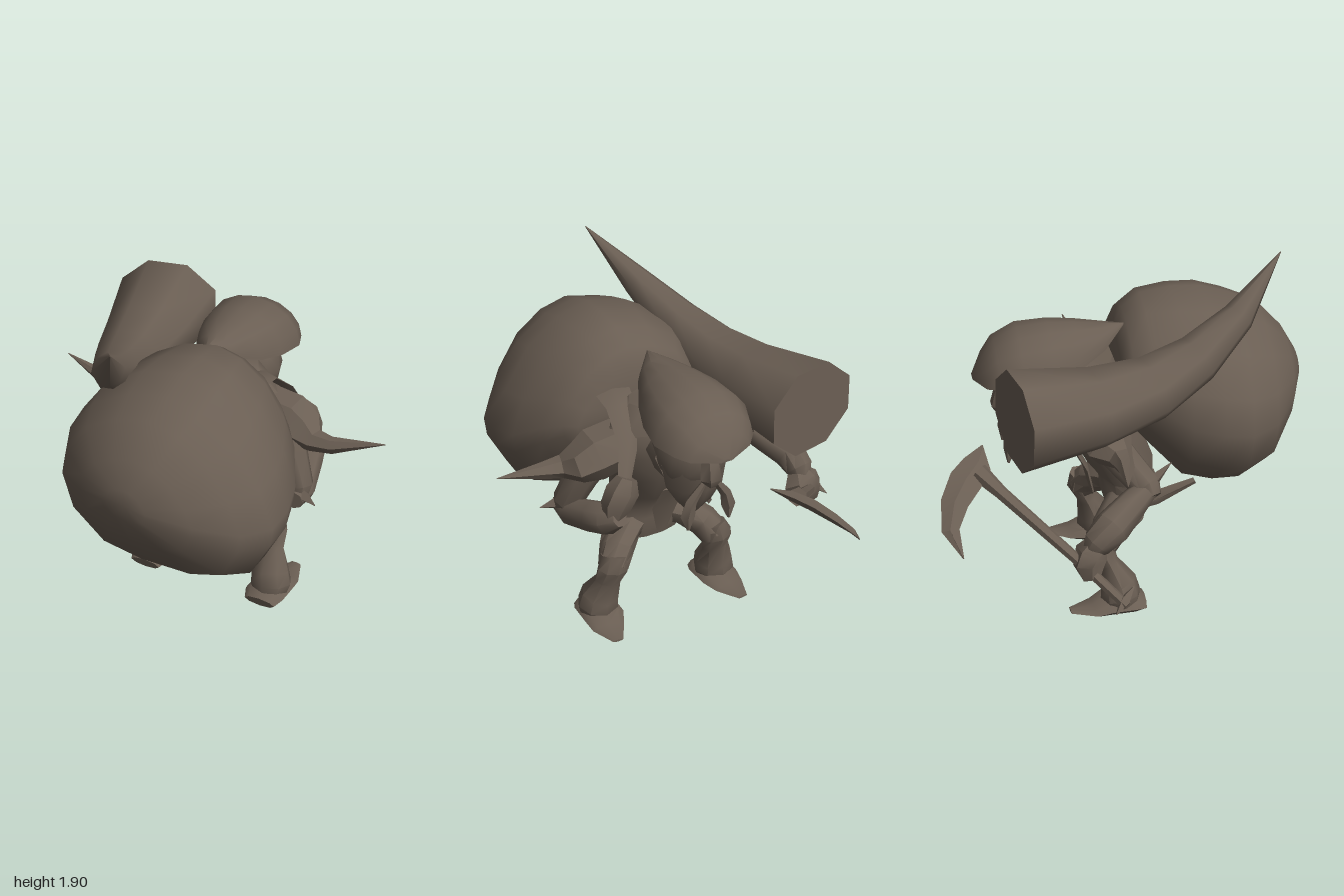
import * as THREE from 'three';
import { toCreasedNormals } from 'three/addons/utils/BufferGeometryUtils.js';

const V = (p) => new THREE.Vector3(...p);
const brown = new THREE.MeshStandardMaterial({ color: 0x6a5e53, side: THREE.DoubleSide });
brown.name = 'earthBrown';

// Skin a list of equal-sized rings, cap the ends and turn the faces outward
function loft(rings, crease = 0.85) {
  const n = rings[0].length, pts = rings.flat(), idx = [];
  for (let i = 0; i < rings.length - 1; i++) {
    for (let j = 0; j < n; j++) {
      const a = i * n + j, b = i * n + (j + 1) % n;
      idx.push(a, b, b + n, a, b + n, a + n);
    }
  }
  const cap = (start, flip) => {
    const mid = new THREE.Vector3();
    for (let j = 0; j < n; j++) mid.addScaledVector(pts[start + j], 1 / n);
    const c = pts.push(mid) - 1;
    for (let j = 0; j < n; j++) {
      const a = start + j, b = start + (j + 1) % n;
      idx.push(c, flip ? b : a, flip ? a : b);
    }
  };
  cap((rings.length - 1) * n, false);
  cap(0, true);
  let volume = 0;
  for (let k = 0; k < idx.length; k += 3) {
    volume += pts[idx[k]].dot(pts[idx[k + 1]].clone().cross(pts[idx[k + 2]]));
  }
  if (volume < 0) idx.reverse();
  const g = new THREE.BufferGeometry().setFromPoints(pts);
  g.setIndex(idx);
  return toCreasedNormals(g, crease);
}

// Elliptical tube: nodes are [x, y, z, radius along ref, other radius]
function limb(nodes, ref = [0, 0, 1], n = 8, crease = 0.85, phase = 0) {
  const P = nodes.map((q) => V(q.slice(0, 3)));
  return loft(P.map((p, i) => {
    const t = P[Math.min(i + 1, P.length - 1)].clone().sub(P[Math.max(i - 1, 0)]).normalize();
    const u = V(ref).addScaledVector(t, -V(ref).dot(t)).normalize();
    const v = t.clone().cross(u);
    const ru = nodes[i][3], rv = nodes[i][4] ?? ru;
    return Array.from({ length: n }, (_, j) => {
      const a = ((j + phase) / n) * Math.PI * 2;
      return p.clone().addScaledVector(u, ru * Math.cos(a)).addScaledVector(v, rv * Math.sin(a));
    });
  }), crease);
}

export function createModel() {
  const model = new THREE.Group();
  const add = (name, geometry, parent = model) => {
    const m = new THREE.Mesh(geometry, brown);
    m.name = name;
    parent.add(m);
  };

  // Sack: one sagging outline, scaled to slices along z: [z, xMin, xMax, yMin, yMax]
  const outline = [[0.04, 1], [0.34, 0.95], [0.63, 0.82], [0.87, 0.6], [1, 0.4], [0.98, 0.29], [0.8, 0.08], [0.45, 0.01],
    [-0.1, 0], [-0.54, 0.04], [-0.89, 0.22], [-1, 0.45], [-0.93, 0.64], [-0.69, 0.83], [-0.34, 0.95]];
  const sack = [
    [0, -0.22, 0.46, 1.06, 1.47], [0.05, -0.27, 0.52, 0.98, 1.58], [0.15, -0.34, 0.6, 0.86, 1.65],
    [0.32, -0.43, 0.69, 0.67, 1.67], [0.48, -0.48, 0.73, 0.635, 1.66], [0.63, -0.47, 0.72, 0.63, 1.61],
    [0.78, -0.39, 0.62, 0.7, 1.55], [0.92, -0.2, 0.43, 0.92, 1.4], [0.995, -0.02, 0.22, 1.1, 1.27]];
  add('sack', loft(sack.map(([z, x0, x1, y0, y1]) => outline.map(([u, v]) =>
    V([(x0 + x1) / 2 + (x1 - x0) / 2 * u, y0 + (y1 - y0) * v, z])))));

  // Great horn
  add('horn', limb([[-0.56, 1.355, -0.62, 0.295, 0.25], [-0.47, 1.34, -0.2, 0.23, 0.2], [-0.4, 1.38, 0.1, 0.18, 0.165],
    [-0.32, 1.48, 0.35, 0.13, 0.13], [-0.21, 1.64, 0.59, 0.08, 0.085], [-0.035, 1.9, 0.85, 0.002, 0.002]],
  [1, 0, 0], 8, 0.9, 0.5));

  // Torso, as slices along y: [y, halfWidth, zBack, zFront]
  const torso = [[0.44, 0.17, 0.06, -0.06], [0.5, 0.23, 0.16, -0.08], [0.58, 0.24, 0.21, -0.09], [0.65, 0.22, 0.2, -0.1],
    [0.76, 0.23, 0.2, -0.18], [0.92, 0.26, 0.13, -0.26], [1.1, 0.32, 0.06, -0.32], [1.25, 0.33, 0.03, -0.33],
    [1.38, 0.2, -0.02, -0.28]];
  add('torso', loft(torso.map(([y, w, b, f]) => Array.from({ length: 10 }, (_, j) => {
    const a = (j / 10) * Math.PI * 2;
    return V([0.04 + w * Math.cos(a), y, (b + f) / 2 + (b - f) / 2 * Math.sin(a)]);
  }))));

  // Legs with flared boots and pointed shoes
  for (const s of [1, -1]) {
    const leg = new THREE.Group();
    leg.name = s > 0 ? 'leftLeg' : 'rightLeg';
    leg.position.x = 0.025;
    model.add(leg);
    const X = (nodes) => nodes.map(([x, ...r]) => [s * x, ...r]);
    add('thigh', limb(X([[0.08, 0.55, 0.06, 0.11, 0.1], [0.19, 0.51, 0, 0.12, 0.09], [0.27, 0.455, -0.09, 0.1, 0.09],
      [0.32, 0.38, -0.14, 0.08, 0.085]])), leg);
    add('shin', limb(X([[0.31, 0.45, -0.13, 0.08, 0.07], [0.325, 0.385, -0.15, 0.07, 0.09], [0.335, 0.29, -0.11, 0.055, 0.08],
      [0.36, 0.17, -0.06, 0.1, 0.11], [0.37, 0.1, -0.05, 0.11, 0.12], [0.37, 0.06, -0.04, 0.1, 0.105]])), leg);
    add('shoe', limb(X([[0.365, 0.035, 0.08, 0.09, 0.03], [0.365, 0.05, 0.02, 0.115, 0.05], [0.37, 0.05, -0.12, 0.115, 0.05],
      [0.385, 0.03, -0.2, 0.09, 0.022], [0.395, 0.035, -0.33, 0.03, 0.006]]), [1, 0, 0], 8), leg);
  }

  // Head, nose, beard and moustache braids
  const skull = new THREE.IcosahedronGeometry(1, 1).scale(0.2, 0.23, 0.2).translate(0.03, 1.22, -0.42);
  add('head', toCreasedNormals(skull, 0.8));
  add('neck', limb([[0.03, 1.17, -0.18, 0.19], [0.03, 1.17, -0.38, 0.19]], [1, 0, 0]));
  add('nose', limb([[0.03, 1.3, -0.57, 0.08, 0.05], [0.03, 1.22, -0.6, 0.05, 0.05], [0.03, 1.13, -0.62, 0.065, 0.055],
    [0.03, 1.09, -0.61, 0.03, 0.035]], [1, 0, 0], 6));
  add('beard', limb([[0.03, 1.15, -0.43, 0.18, 0.17], [0.03, 1.02, -0.44, 0.16, 0.14], [0.03, 0.92, -0.44, 0.1, 0.09],
    [0.03, 0.81, -0.43, 0.015, 0.015]], [1, 0, 0]));
  for (const s of [1, -1]) {
    add('moustacheBraid', limb([[0.03 + s * 0.03, 1.1, -0.6, 0.015], [0.03 + s * 0.1, 1.0, -0.59, 0.03, 0.03],
      [0.03 + s * 0.12, 0.92, -0.59, 0.04, 0.035], [0.03 + s * 0.12, 0.84, -0.6, 0.008]], [1, 0, 0], 5));
  }

  // Teardrop hat, as slices along z: [z, halfWidth, rimY, topY]
  const hat = [[0.04, 0.004, 1.53, 1.54], [-0.08, 0.12, 1.45, 1.55], [-0.22, 0.195, 1.39, 1.57], [-0.36, 0.245, 1.36, 1.58],
    [-0.52, 0.27, 1.345, 1.57], [-0.64, 0.225, 1.33, 1.51], [-0.7, 0.17, 1.315, 1.42], [-0.76, 0.03, 1.305, 1.32]];
  add('hat', loft(hat.map(([z, w, rim, top]) => Array.from({ length: 9 }, (_, j) => {
    const a = (j / 8) * Math.PI;
    return V([0.03 + w * Math.cos(a), rim + (top - rim) * Math.sin(a), z]);
  }))));

  // Shoulder plates drawn out into flat spikes
  for (const s of [1, -1]) {
    const at = (x) => 0.025 + s * x;
    add('shoulderPlate', limb([[at(0.26), 1.16, -0.14, 0.14, 0.13], [at(0.42), 1.13, -0.14, 0.14, 0.14],
      [at(0.51), 1.1, -0.13, 0.12, 0.1], [at(0.58), 1.08, -0.09, 0.065, 0.06], [at(0.68), 1.085, -0.085, 0.045, 0.045],
      [at(0.955), 1.15, -0.13, 0.002, 0.002]], [0, 0, 1], 6, 0.4));
  }

  // Left arm, bent up to grip the sack strap
  add('leftUpperArm', limb([[0.4, 1.16, -0.13, 0.11], [0.48, 0.98, -0.07, 0.09], [0.55, 0.82, -0.03, 0.08], [0.55, 0.73, -0.01, 0.05]]));
  add('leftForearm', limb([[0.56, 0.77, 0.05, 0.05], [0.55, 0.77, -0.06, 0.075], [0.5, 0.82, -0.23, 0.085],
    [0.47, 0.86, -0.34, 0.085], [0.44, 0.9, -0.41, 0.05]], [0, 1, 0]));
  add('leftFist', limb([[0.46, 0.88, -0.37, 0.05, 0.05], [0.44, 0.95, -0.37, 0.07, 0.085], [0.4, 1.03, -0.37, 0.08, 0.09],
    [0.37, 1.09, -0.36, 0.05, 0.055]], [0, 0, 1], 6));
  add('leftElbowSpike', limb([[0.56, 0.8, 0.0, 0.05], [0.68, 0.77, 0.04, 0.002]], [0, 1, 0], 4));
  add('strap', limb([[0.42, 1.0, -0.4, 0.03, 0.015], [0.33, 1.22, -0.3, 0.05, 0.015], [0.28, 1.36, -0.14, 0.08, 0.02],
    [0.25, 1.38, 0.04, 0.1, 0.02]], [1, 0, 0], 4));

  // Right arm, lowered and holding the pick
  add('rightUpperArm', limb([[-0.38, 1.07, -0.12, 0.1], [-0.48, 1.0, -0.05, 0.09], [-0.58, 0.91, 0.04, 0.08], [-0.62, 0.87, 0.06, 0.05]]));
  add('rightForearm', limb([[-0.57, 0.92, 0.07, 0.05], [-0.63, 0.87, -0.03, 0.075], [-0.74, 0.8, -0.17, 0.095],
    [-0.76, 0.73, -0.25, 0.08], [-0.76, 0.68, -0.28, 0.05]], [1, 0, 0]));
  add('rightFist', limb([[-0.75, 0.72, -0.25, 0.06, 0.055], [-0.755, 0.67, -0.28, 0.11, 0.08], [-0.78, 0.61, -0.3, 0.1, 0.08],
    [-0.81, 0.55, -0.29, 0.06, 0.05]], [1, 0, 0], 6));
  add('rightElbowSpike', limb([[-0.59, 0.91, 0.03, 0.05], [-0.56, 1.03, 0.17, 0.002]], [1, 0, 0], 4));

  // Pick: handle, butt spike and narrow crescent blade
  add('pickHandle', limb([[-0.97, 0.475, -0.14, 0.025], [-0.78, 0.635, -0.34, 0.028], [-0.47, 0.9, -0.69, 0.035],
    [-0.38, 0.98, -0.79, 0.05]], [0, 1, 0], 6));
  add('pickButt', limb([[-0.89, 0.53, -0.09, 0.004], [-0.95, 0.495, -0.15, 0.03], [-0.998, 0.45, -0.2, 0.003]], [0, 1, 0], 4));
  add('pickBlade', limb([[-0.24, 1.05, -0.75, 0.003, 0.003], [-0.34, 1.0, -0.79, 0.075, 0.025], [-0.42, 0.96, -0.86, 0.085, 0.03],
    [-0.51, 0.89, -0.93, 0.07, 0.025], [-0.61, 0.795, -0.965, 0.045, 0.015], [-0.7, 0.68, -0.915, 0.003, 0.003]],
  [0.56, 0.48, -0.62], 4, 0.4));

  // Hip satchel, sheath and hanging sash
  add('satchel', limb([[-0.24, 0.8, 0.08, 0.07, 0.06], [-0.27, 0.72, 0.08, 0.1, 0.08], [-0.24, 0.61, 0.08, 0.05, 0.04]], [0, 0, 1], 5));
  add('sheath', limb([[-0.28, 0.58, -0.1, 0.03, 0.015], [-0.29, 0.65, 0.15, 0.045, 0.02], [-0.3, 0.74, 0.36, 0.02, 0.01]], [0, 1, 0], 4));
  add('sash', limb([[0.04, 0.86, -0.25, 0.06, 0.015], [0.04, 0.7, -0.17, 0.08, 0.015], [0.04, 0.52, -0.13, 0.03, 0.01]], [1, 0, 0], 4));
  return model;
}
